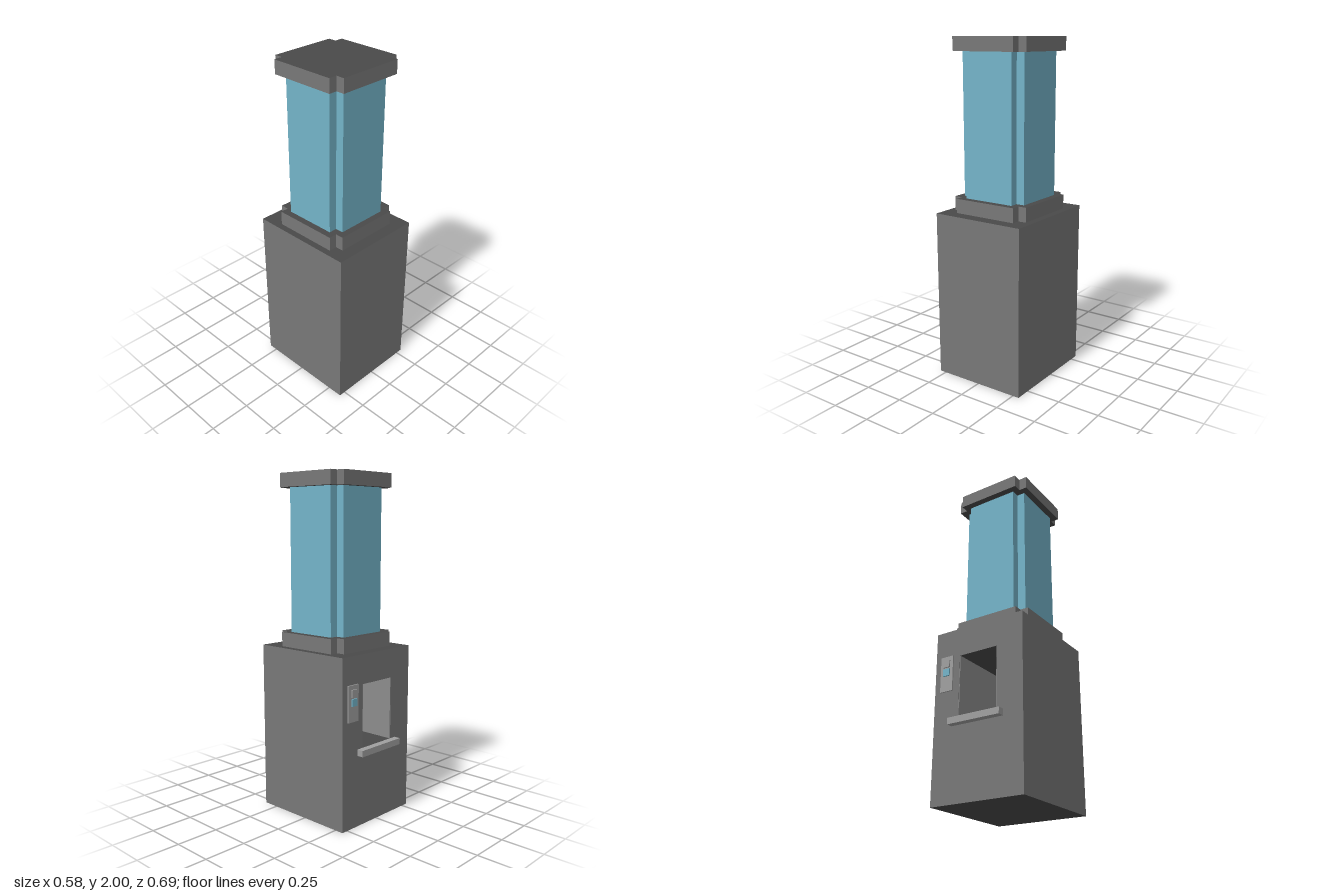
import * as THREE from 'three';

const mat = (name, color) => new THREE.MeshStandardMaterial({ name, color });

export function createModel() {
  const grey = mat('body grey', 0x787878);
  const dark = mat('dark grey', 0x4a4a4a);
  const light = mat('light grey', 0xa0a0a0);
  const blue = mat('tank blue', 0x74b4c9);
  const lining = mat('lining grey', 0x8c8c8c);
  const group = new THREE.Group();

  const add = (name, geo, material, x = 0, y = 0, z = 0) => {
    const mesh = new THREE.Mesh(geo, material);
    mesh.name = name;
    mesh.position.set(x, y, z);
    group.add(mesh);
    return mesh;
  };
  const box = (name, material, w, h, d, x, y, z) =>
    add(name, new THREE.BoxGeometry(w, h, d), material, x, y, z);

  // Groups for two materials: 0 on upright faces, 1 on level faces
  const splitLevelFaces = (source) => {
    const geo = source.index ? source.toNonIndexed() : source;
    geo.clearGroups();
    const normal = geo.attributes.normal;
    for (let i = 0; i < normal.count; i += 3)
      geo.addGroup(i, 3, Math.abs(normal.getY(i)) > 0.5 ? 1 : 0);
    return geo;
  };

  // Square prism with a notch cut from every corner
  const notchedPrism = (half, notch, height) => {
    const a = half, b = half - notch;
    const points = [[a, -b], [a, b], [b, b], [b, a], [-b, a], [-b, b],
      [-a, b], [-a, -b], [-b, -b], [-b, -a], [b, -a], [b, -b]];
    const shape = new THREE.Shape(points.map(([x, y]) => new THREE.Vector2(x, y)));
    return new THREE.ExtrudeGeometry(shape, { depth: height, bevelEnabled: false })
      .rotateX(-Math.PI / 2);
  };

  // Cabinet with a deep opening at the back, closed by the front wall
  const rect = (Type, x, y0, y1) => new Type([[-x, y0], [x, y0], [x, y1], [-x, y1]]
    .map(([px, py]) => new THREE.Vector2(px, py)));
  const outline = rect(THREE.Shape, 0.29, 0, 1);
  outline.holes.push(rect(THREE.Path, 0.125, 0.46, 0.83));
  const shell = new THREE.ExtrudeGeometry(outline, { depth: 0.64, bevelEnabled: false });
  add('cabinet', splitLevelFaces(shell), [grey, dark], 0, 0, -0.305);
  add('frontWall', splitLevelFaces(new THREE.BoxGeometry(0.58, 1, 0.01)), [grey, dark], 0, 0.5, 0.34);

  // Opening lining
  for (const s of [-1, 1])
    box('openingSide', lining, 0.004, 0.37, 0.638, s * 0.123, 0.645, 0.016);
  box('openingBack', lining, 0.25, 0.37, 0.004, 0, 0.645, 0.333);

  // Tank between two collars
  add('lowerCollar', splitLevelFaces(notchedPrism(0.25, 0.05, 0.085)), [grey, dark], 0, 1, 0.02);
  add('tank', notchedPrism(0.21, 0.05, 0.835), blue, 0, 1.085, 0.02);
  add('upperCollar', splitLevelFaces(notchedPrism(0.25, 0.05, 0.08)), [grey, dark], 0, 1.92, 0.02);

  // Shelf and control panel on the back
  box('shelf', light, 0.334, 0.037, 0.04, 0, 0.4415, -0.325);
  box('controlPanel', light, 0.083, 0.21, 0.008, 0.2085, 0.735, -0.309);
  box('upperButton', light, 0.042, 0.042, 0.008, 0.2075, 0.794, -0.317);
  box('lowerButton', blue, 0.042, 0.042, 0.008, 0.2075, 0.742, -0.317);

  return group;
}
